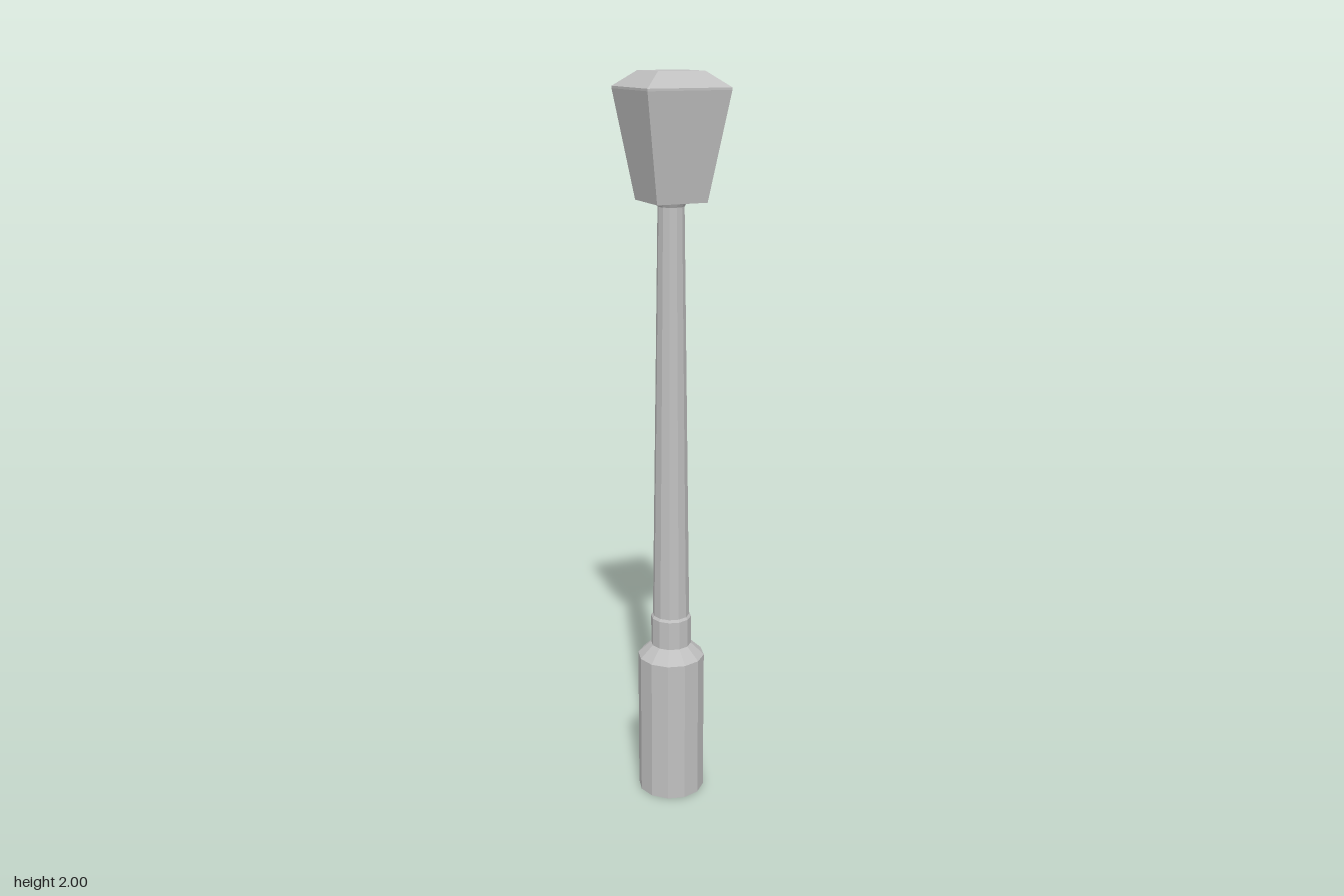
import * as THREE from 'three';

export function createModel() {
  const group = new THREE.Group();
  group.name = 'lampPost';
  const grey = new THREE.MeshStandardMaterial({ color: 0xc0c0c0, flatShading: true });
  grey.name = 'light grey';

  // Faceted solid turned from [radius, height] pairs, bottom to top
  function turned(name, profile, sides, startAngle = 0) {
    const points = profile.map(([r, y]) => new THREE.Vector2(r, y));
    const mesh = new THREE.Mesh(new THREE.LatheGeometry(points, sides, startAngle), grey);
    mesh.name = name;
    group.add(mesh);
  }

  // Square solid from [half width, height] pairs
  function square(name, profile) {
    turned(name, profile.map(([h, y]) => [h * Math.SQRT2, y]), 4, Math.PI / 4);
  }

  // Twelve-sided foot with a sloped shoulder
  turned('base', [[0, 0], [0.093, 0], [0.093, 0.412], [0.056, 0.447]], 12);

  // Collar with a small bevel, joining base and pole
  turned('collar', [[0.056, 0.447], [0.056, 0.528], [0.051, 0.535]], 12);

  // Slender tapering pole
  turned('pole', [[0.051, 0.535], [0.035, 1.665]], 12);

  // Flared neck beneath the lantern
  turned('neck', [[0.035, 1.665], [0.042, 1.678]], 12);

  // Square lantern widening upwards, closed below
  square('lantern', [[0, 1.678], [0.07, 1.678], [0.114, 1.955]]);

  // Thin eave and hipped roof with a flat top
  square('roof', [[0.114, 1.955], [0.114, 1.961], [0.064, 2], [0, 2]]);

  return group;
}
